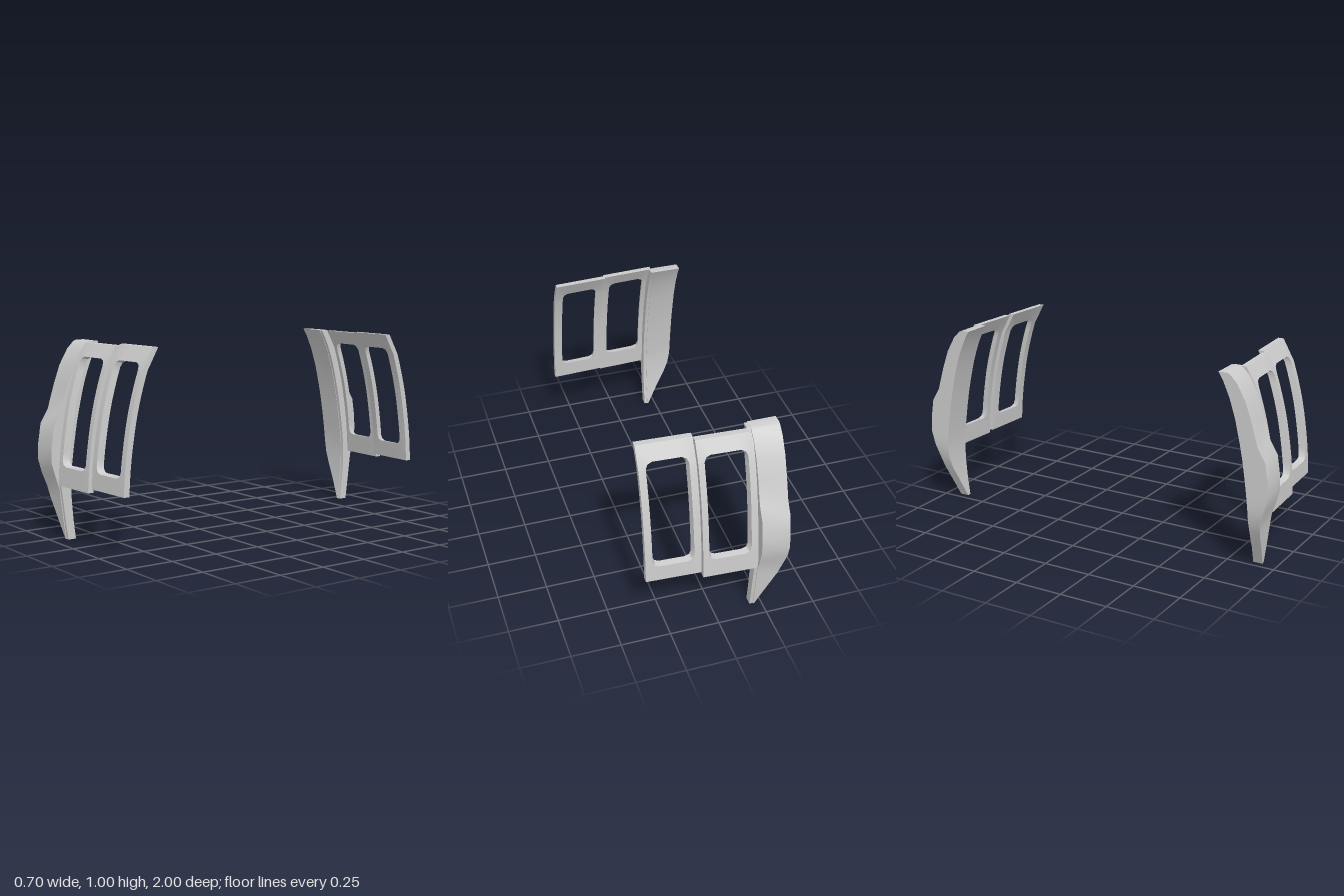
import * as THREE from 'three';
import { toCreasedNormals } from 'three/addons/utils/BufferGeometryUtils.js';

const material = new THREE.MeshStandardMaterial({ color: 0xcccccc });

// Skins a list of equal-length closed rings; either joins last to first or caps both ends
function loft(rings, name, side, joined = false) {
  const n = rings[0].length, m = rings.length, idx = [];
  const p = rings.flat().map(([x, y, z]) => new THREE.Vector3(x, y, z * side));
  for (let i = 0; i < (joined ? m : m - 1); i++) {
    for (let j = 0; j < n; j++) {
      const a = i * n + j, b = i * n + (j + 1) % n;
      const c = ((i + 1) % m) * n + (j + 1) % n, d = ((i + 1) % m) * n + j;
      idx.push(a, b, c, a, c, d);
    }
  }
  if (!joined) {
    const e = (m - 1) * n;
    for (let j = 1; j < n - 1; j++) idx.push(0, j + 1, j, e, e + j, e + j + 1);
  }
  // Turn the faces outward whichever side is being built
  const cross = new THREE.Vector3();
  let volume = 0;
  for (let i = 0; i < idx.length; i += 3) {
    volume += p[idx[i]].dot(cross.crossVectors(p[idx[i + 1]], p[idx[i + 2]]));
  }
  if (volume < 0) idx.reverse();
  const geo = new THREE.BufferGeometry().setFromPoints(p);
  geo.setIndex(idx);
  const mesh = new THREE.Mesh(toCreasedNormals(geo, 0.45), material);
  mesh.name = name;
  return mesh;
}

// Piecewise linear lookup in rows of [y, value, ...]
function at(rows, y, k = 1) {
  let i = 0;
  while (i < rows.length - 2 && y > rows[i + 1][0]) i++;
  const [a, b] = [rows[i], rows[i + 1]];
  return a[k] + (b[k] - a[k]) * (y - a[0]) / (b[0] - a[0]);
}

// Outer face of the body side: depth against height
const bodyCurve = new THREE.CatmullRomCurve3([
  [0.26, 0.956], [0.4, 0.947], [0.55, 0.928], [0.7, 0.9], [0.85, 0.858], [0.92, 0.832], [1, 0.782],
].map(([y, z]) => new THREE.Vector3(0, y, z))).getPoints(48).map((v) => [v.y, v.z]);

// Curved window frame: a four-cornered section swept round the opening
function windowFrame(name, side, { x0, x1, y0, y1, hx0, hx1, hy0, hy1, inset }) {
  const c = 0.03, steps = 12, pairs = []; // pairs of [outer edge, opening edge]
  const right = [], left = [];
  for (let i = 0; i <= steps; i++) {
    const y = hy0 + c + (hy1 - hy0 - 2 * c) * i / steps;
    right.push([[x1, y], [hx1, y]]);
    left.unshift([[x0, y], [hx0, y]]);
  }
  const k = c * 0.3;
  pairs.push(...right,
    [[x1, y1], [hx1 - k, hy1 - k]],
    [[hx1 - c, y1], [hx1 - c, hy1]], [[hx0 + c, y1], [hx0 + c, hy1]],
    [[x0, y1], [hx0 + k, hy1 - k]],
    ...left,
    [[x0, y0], [hx0 + k, hy0 + k]],
    [[hx0 + c, y0], [hx0 + c, hy0]], [[hx1 - c, y0], [hx1 - c, hy0]],
    [[x1, y0], [hx1 - k, hy0 + k]]);
  const cx = (hx0 + hx1) / 2, cy = (hy0 + hy1) / 2;
  const place = (x, y, depth) => [x, y, at(bodyCurve, y) - inset - 0.05 * x - depth];
  const rings = pairs.map(([[ox, oy], [ix, iy]]) => {
    // The opening flares slightly toward the outside
    const fx = cx + (ix - cx) * 1.08, fy = cy + (iy - cy) * 1.02;
    return [place(ox, oy, 0), place(fx, fy, 0), place(ix, iy, 0.034), place(ox, oy, 0.03)];
  });
  return loft(rings, name, side, true);
}

// Scoop rows: height, leading edge x, inner z, outer z
const scoopRows = [
  [0, -0.213, 0.875, 0.925], [0.1, -0.263, 0.887, 0.938], [0.2, -0.315, 0.895, 0.95],
  [0.26, -0.338, 0.896, 0.957], [0.33, -0.35, 0.895, 0.98], [0.4, -0.35, 0.887, 0.999],
  [0.48, -0.35, 0.876, 0.996], [0.58, -0.35, 0.86, 0.98], [0.65, -0.35, 0.846, 0.938],
  [0.77, -0.35, 0.818, 0.902], [0.87, -0.35, 0.786, 0.866], [0.95, -0.35, 0.75, 0.82],
  [0.985, -0.35, 0.729, 0.785], [0.992, -0.35, 0.725, 0.77],
];

function scoop(side) {
  const rings = scoopRows.map(([y, x, zi, zo]) =>
    [[x, y, zi], [x, y, zo], [-0.207, y, zo], [-0.207, y, zi]]);
  return loft(rings, 'airScoop', side);
}

// Narrow rear flange running the height of the scoop
function flange(side) {
  const rings = [];
  for (let i = 0; i <= 20; i++) {
    const y = 0.99 * i / 20, zi = at(scoopRows, y, 2) + 0.003;
    const zo = Math.min(at(scoopRows, y, 3) - 0.004, zi + 0.062);
    rings.push([[-0.21, y, zi], [-0.21, y, zo], [-0.19, y, zo], [-0.19, y, zi]]);
  }
  return loft(rings, 'scoopFlange', side);
}

export function createModel() {
  const model = new THREE.Group();
  model.name = 'sidePanels';
  for (const side of [1, -1]) {
    const panel = new THREE.Group();
    panel.name = side > 0 ? 'frontPanel' : 'backPanel';
    panel.add(
      scoop(side),
      flange(side),
      windowFrame('middleWindowFrame', side, {
        x0: -0.2, x1: 0.07, y0: 0.28, y1: 0.988, hx0: -0.163, hx1: 0.032, hy0: 0.385, hy1: 0.917, inset: 0,
      }),
      windowFrame('endWindowFrame', side, {
        x0: 0.073, x1: 0.348, y0: 0.298, y1: 0.995, hx0: 0.115, hx1: 0.305, hy0: 0.385, hy1: 0.917, inset: 0.018,
      }),
    );
    model.add(panel);
  }
  return model;
}
